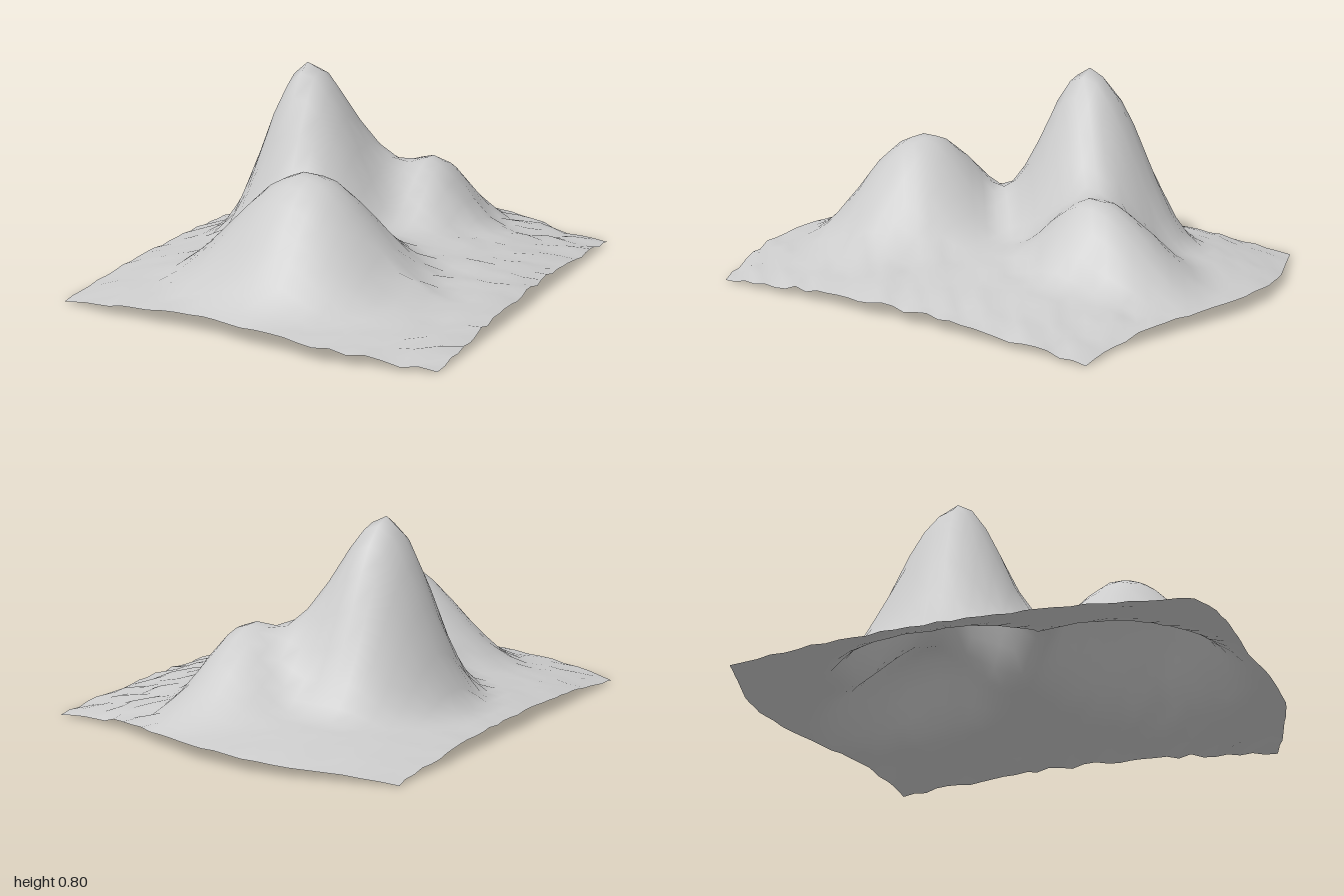
import * as THREE from 'three';

// Peaks and small spurs: centre, rise, and reach towards -x, +x, -z, +z
const HILLS = [
  { x: -0.30, z: -0.14, rise: 0.65, reach: [0.38, 0.45, 0.50, 0.42] },
  { x: 0.04, z: 0.47, rise: 0.37, reach: [0.60, 0.53, 0.50, 0.49] },
  { x: 0.13, z: -0.43, rise: 0.25, reach: [0.40, 0.30, 0.50, 0.38] },
  { x: -0.31, z: 0.26, rise: 0.03, reach: [0.08, 0.06, 0.10, 0.08] },
  { x: 0.51, z: 0.46, rise: 0.03, reach: [0.14, 0.06, 0.08, 0.06] },
];

// Outline of the back and front edges, as [x, z]
const BACK = [[-0.79, -0.83], [-0.6, -0.9], [-0.4, -0.97], [-0.2, -1], [0, -0.98], [0.2, -0.92], [0.35, -0.87], [0.6, -0.8], [0.79, -0.8]];
const FRONT = [[-0.79, 0.9], [-0.6, 0.94], [-0.4, 0.95], [-0.1, 0.95], [0.05, 0.98], [0.38, 1], [0.5, 0.97], [0.65, 0.93], [0.79, 0.88]];

function edgeAt(points, x) {
  let i = 1;
  while (i < points.length - 1 && x > points[i][0]) i++;
  const [x0, z0] = points[i - 1], [x1, z1] = points[i];
  return THREE.MathUtils.lerp(z0, z1, THREE.MathUtils.clamp((x - x0) / (x1 - x0), 0, 1));
}

function hillHeight(h, x, z) {
  const dx = x - h.x, dz = z - h.z;
  const t = Math.hypot(dx / h.reach[dx < 0 ? 0 : 1], dz / h.reach[dz < 0 ? 2 : 3]);
  return t < 1 ? h.rise * 0.5 * (1 + Math.cos(Math.PI * t)) : 0;
}

function seeded(seed) {
  return () => {
    seed = (seed * 16807) % 2147483647;
    return seed / 2147483647 - 0.5;
  };
}

export function createModel() {
  const model = new THREE.Group();
  model.name = 'mountainTerrain';
  const rock = new THREE.MeshStandardMaterial({ color: 0xcccccc, side: THREE.DoubleSide });
  rock.name = 'paleGrey';

  // Grid sheet, fitted to the outline and raised by the hills
  const columns = 26, rows = 32;
  const geometry = new THREE.PlaneGeometry(2, 2, columns, rows).rotateX(-Math.PI / 2);
  const position = geometry.attributes.position;
  const random = seeded(71);
  let lowest = Infinity;
  for (let i = 0; i < position.count; i++) {
    const u = position.getX(i), v = position.getZ(i);
    const side = Math.abs(u) > 0.999;
    const x = u * 0.785 + (side ? random() * 0.01 : 0);
    const z = THREE.MathUtils.lerp(edgeAt(BACK, x), edgeAt(FRONT, x), (v + 1) / 2);

    // Broad low dome under the peaks, rougher towards +x
    const p = 1 - u * u, q = 1 - v * v;
    let y = 0.015 + 0.05 * (p + q) + 0.06 * p * q + 0.02 * p * Math.max(0, v) ** 4;
    y += random() * (x > 0.25 ? 0.02 : 0.008);
    for (const hill of HILLS) y += hillHeight(hill, x, z);

    position.setXYZ(i, x, y, z);
    lowest = Math.min(lowest, y);
  }
  geometry.translate(0, -lowest, 0);
  geometry.computeVertexNormals();

  const terrain = new THREE.Mesh(geometry, rock);
  terrain.name = 'terrain';
  model.add(terrain);
  return model;
}
